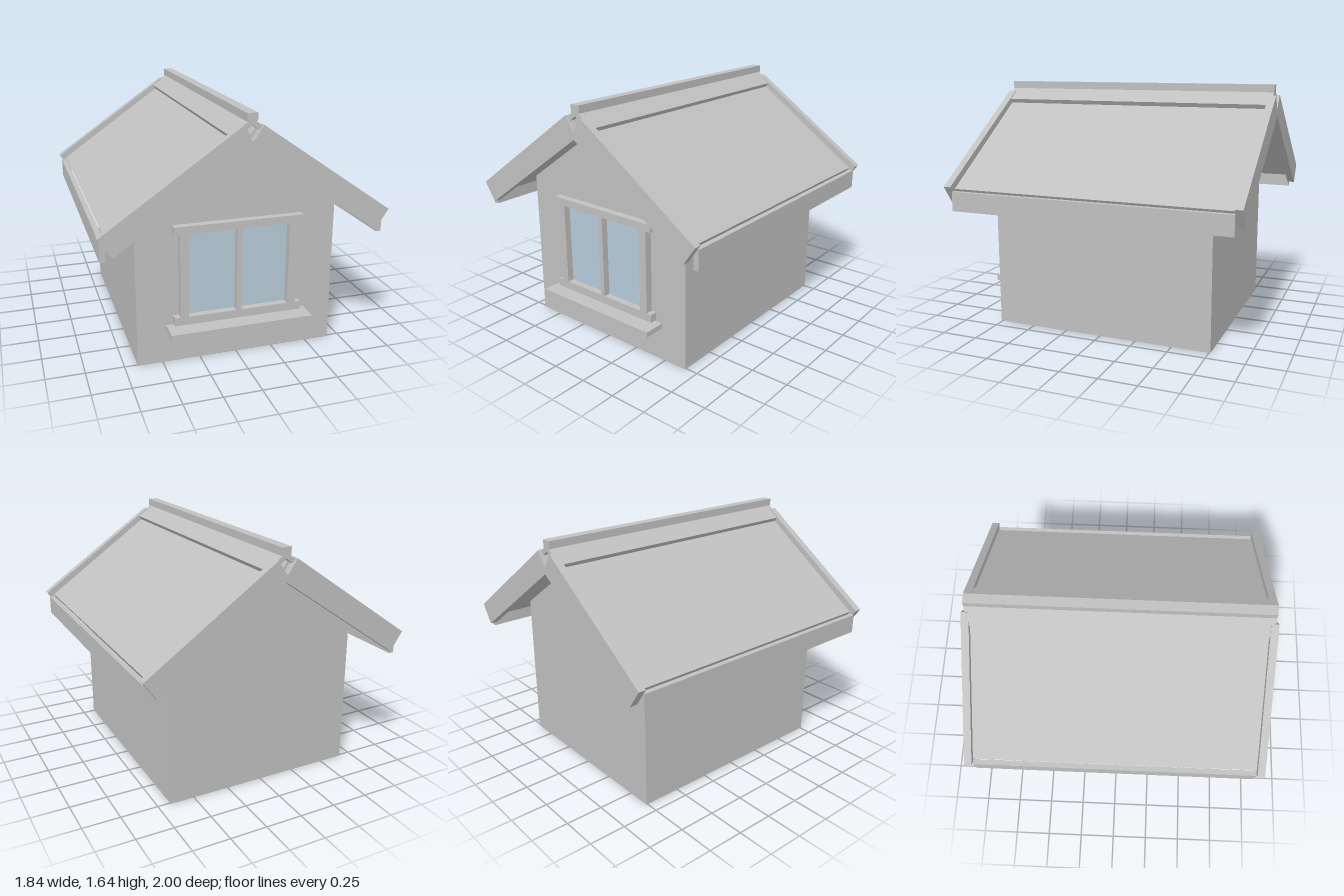
import * as THREE from 'three';

const SLOPE = 0.69; // roof fall per unit of x

export function createModel() {
  const house = new THREE.Group();
  house.name = 'house';
  const grey = new THREE.MeshStandardMaterial({ color: 0xc0c0c0 });
  grey.name = 'plain grey';
  const blue = new THREE.MeshStandardMaterial({ color: 0xb5cad8 });
  blue.name = 'glass blue';

  const add = (name, geometry, material = grey) => {
    const mesh = new THREE.Mesh(geometry, material);
    mesh.name = name;
    house.add(mesh);
    return mesh;
  };

  // Box given by its limits on each axis
  const box = (name, x0, x1, y0, y1, z0, z1, material) => {
    const geometry = new THREE.BoxGeometry(x1 - x0, y1 - y0, z1 - z0);
    geometry.translate((x0 + x1) / 2, (y0 + y1) / 2, (z0 + z1) / 2);
    return add(name, geometry, material);
  };

  // Symmetric outline from its +x half (top centre to bottom centre), run along z
  const gable = (name, half, z0, z1) => {
    const mirrored = half.filter(([x]) => x > 0).reverse().map(([x, y]) => [-x, y]);
    const shape = new THREE.Shape([...half, ...mirrored].map(([x, y]) => new THREE.Vector2(x, y)));
    const geometry = new THREE.ExtrudeGeometry(shape, { depth: z1 - z0, bevelEnabled: false });
    geometry.translate(0, 0, z0);
    return add(name, geometry);
  };

  // Walls, with the gable running up under the roof
  gable('walls', [[0, 1.48], [0.665, 1.48 - 0.665 * SLOPE], [0.665, 0], [0, 0]], -0.76, 0.76);

  // Roof panels, notched at the ridge and cut square at the eaves
  gable('roofPanels', [[0, 1.51], [0.028, 1.553], [0.87, 0.966], [0.835, 0.915], [0, 1.49]], -0.95, 0.95);

  // Folded ridge flashing, with the ridge beam on top
  gable('ridgeFlashing', [[0, 1.612], [0.135, 1.519], [0.115, 1.489], [0, 1.575]], -0.98, 0.98);
  box('ridgeBeam', -0.033, 0.033, 1.595, 1.645, -0.98, 0.98);

  // Barge boards at both gable ends
  const barge = [[0, 1.48], [0.065, 1.575], [0.92, 0.985], [0.835, 0.86], [0, 1.435]];
  gable('frontBargeBoards', barge, 0.95, 1);
  gable('backBargeBoards', barge, -1, -0.95);

  // Eaves fascias
  for (const side of [-1, 1]) {
    const x = [0.87 * side, 0.905 * side].sort((a, b) => a - b);
    box(side > 0 ? 'leftFascia' : 'rightFascia', ...x, 0.822, 0.952, -0.95, 0.95);
  }

  // Front window: glass, frame, centre bar and sill
  box('windowGlass', -0.335, 0.335, 0.325, 0.885, 0.757, 0.764, blue);
  box('windowHead', -0.427, 0.427, 0.885, 0.935, 0.755, 0.81);
  box('windowFoot', -0.427, 0.427, 0.27, 0.325, 0.755, 0.81);
  box('windowRightJamb', -0.39, -0.335, 0.325, 0.885, 0.755, 0.81);
  box('windowLeftJamb', 0.335, 0.39, 0.325, 0.885, 0.755, 0.81);
  box('windowMullion', -0.017, 0.017, 0.325, 0.885, 0.755, 0.81);
  box('windowSill', -0.475, 0.475, 0.225, 0.26, 0.755, 0.905);

  return house;
}
